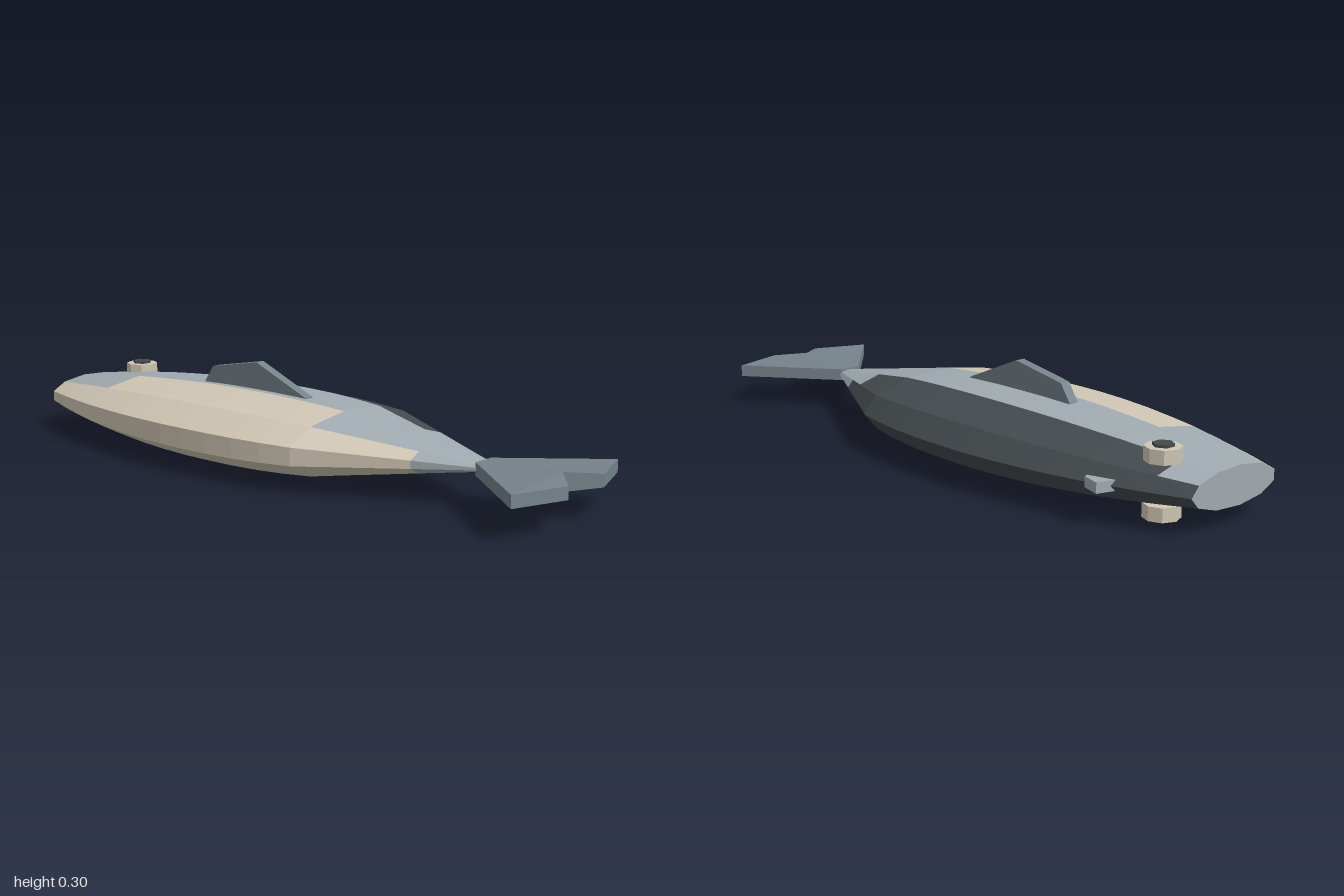
import * as THREE from 'three';

const paint = (name, color) => {
  const m = new THREE.MeshStandardMaterial({ color });
  m.name = name;
  return m;
};

export function createModel() {
  const mats = {
    grey: paint('silver grey', 0xa0aab0),
    cream: paint('cream', 0xd0c6b4),
    dark: paint('charcoal', 0x444a4e),
    fin: paint('fin grey', 0x76828b),
  };
  const group = new THREE.Group();
  const CY = 0.113, CZ = 0.0067; // body axis
  const add = (name, geometry, material, x = 0, y = 0, z = 0) => {
    const mesh = new THREE.Mesh(geometry, material);
    mesh.name = name;
    mesh.position.set(x, y, z);
    group.add(mesh);
    return mesh;
  };

  // Body: eleven-sided flattened sections, [x, radius]
  const rings = [
    [-1, 0.166], [-0.89, 0.208], [-0.8, 0.238], [-0.7, 0.268], [-0.6, 0.29], [-0.5, 0.309],
    [-0.4, 0.322], [-0.3, 0.33], [-0.2, 0.332], [-0.1, 0.331], [0, 0.324], [0.1, 0.31],
    [0.2, 0.289], [0.3, 0.235], [0.41, 0.178], [0.51, 0.125], [0.6, 0.078], [0.68, 0.037],
  ];
  const SIDES = 11;
  const point = (i, k) => {
    const [x, r] = rings[i], a = (k / SIDES) * Math.PI * 2;
    return [x, CY + Math.sin(a) * r * 0.335, CZ - Math.cos(a) * r];
  };
  // Dark back on -z, cream belly on +z, grey between
  const colourOf = (k, x) => {
    const f = Math.min(k, SIDES - 1 - k);
    if (f === 0) return x < 0.51 ? 'dark' : 'grey';
    if (f === 1) return x > -0.89 && x < 0.41 ? 'dark' : 'grey';
    if (f === 3) return x > -0.7 && x < 0.2 ? 'cream' : 'grey';
    return f > 3 && x < 0.51 ? 'cream' : 'grey';
  };
  const faces = { grey: [], cream: [], dark: [] };
  for (let i = 0; i < rings.length - 1; i++) {
    for (let k = 0; k < SIDES; k++) {
      const a = point(i, k), b = point(i, k + 1), c = point(i + 1, k + 1), d = point(i + 1, k);
      const mid = (rings[i][0] + rings[i + 1][0]) / 2;
      faces[colourOf(k, mid)].push(...a, ...b, ...c, ...a, ...c, ...d);
    }
  }
  // Flat nose and tail-root caps
  const last = rings.length - 1;
  for (let k = 0; k < SIDES; k++) {
    faces.grey.push(-1, CY, CZ, ...point(0, k + 1), ...point(0, k));
    faces.grey.push(rings[last][0], CY, CZ, ...point(last, k), ...point(last, k + 1));
  }
  const bodyNames = { grey: 'bodyFlank', cream: 'bodyBelly', dark: 'bodyBack' };
  for (const key in faces) {
    const geo = new THREE.BufferGeometry();
    geo.setAttribute('position', new THREE.Float32BufferAttribute(faces[key], 3));
    geo.computeVertexNormals();
    add(bodyNames[key], geo, mats[key]);
  }

  const slab = (points, depth) => {
    const shape = new THREE.Shape(points.map(([x, y]) => new THREE.Vector2(x, y)));
    return new THREE.ExtrudeGeometry(shape, { depth, bevelEnabled: false }).translate(0, 0, -depth / 2);
  };

  // Forked tail, thickest at the notch
  const tail = slab([
    [0.67, -0.036], [0.94, -0.258], [1, -0.087], [0.925, 0], [1, 0.087], [0.94, 0.258], [0.67, 0.036],
  ], 0.037);
  const pos = tail.attributes.position;
  for (let i = 0; i < pos.count; i++) {
    if (Math.abs(pos.getX(i) - 0.925) < 0.002) pos.setZ(i, pos.getZ(i) * 1.5);
  }
  tail.rotateX(Math.PI / 2);
  tail.computeVertexNormals();
  add('tailFin', tail, mats.fin, 0, CY, CZ);

  // Upright fin on the flank
  add('sideFin', slab([
    [-0.42, 0.19], [-0.405, 0.222], [-0.37, 0.272], [-0.18, 0.306], [0.025, 0.22], [0.03, 0.19],
  ], 0.032), mats.fin, 0, 0, CZ);

  // Small fin on the back
  add('backFin', slab([
    [-0.8, -0.2], [-0.78, -0.275], [-0.72, -0.257], [-0.7, -0.2],
  ], 0.03).rotateX(Math.PI / 2), mats.grey, 0, CY, 0);

  // Eyes on both flanks
  for (const s of [1, -1]) {
    const rim = new THREE.CylinderGeometry(0.052, 0.052, 0.04, 8).toNonIndexed();
    rim.computeVertexNormals();
    add('eyeRim', rim, mats.cream, -0.85, CY + s * 0.077, -0.103);
    const pupil = new THREE.CylinderGeometry(0.03, 0.03, 0.03, 6).toNonIndexed();
    pupil.computeVertexNormals();
    add('pupil', pupil, mats.dark, -0.85, CY + s * 0.09, -0.103);
  }
  return group;
}
